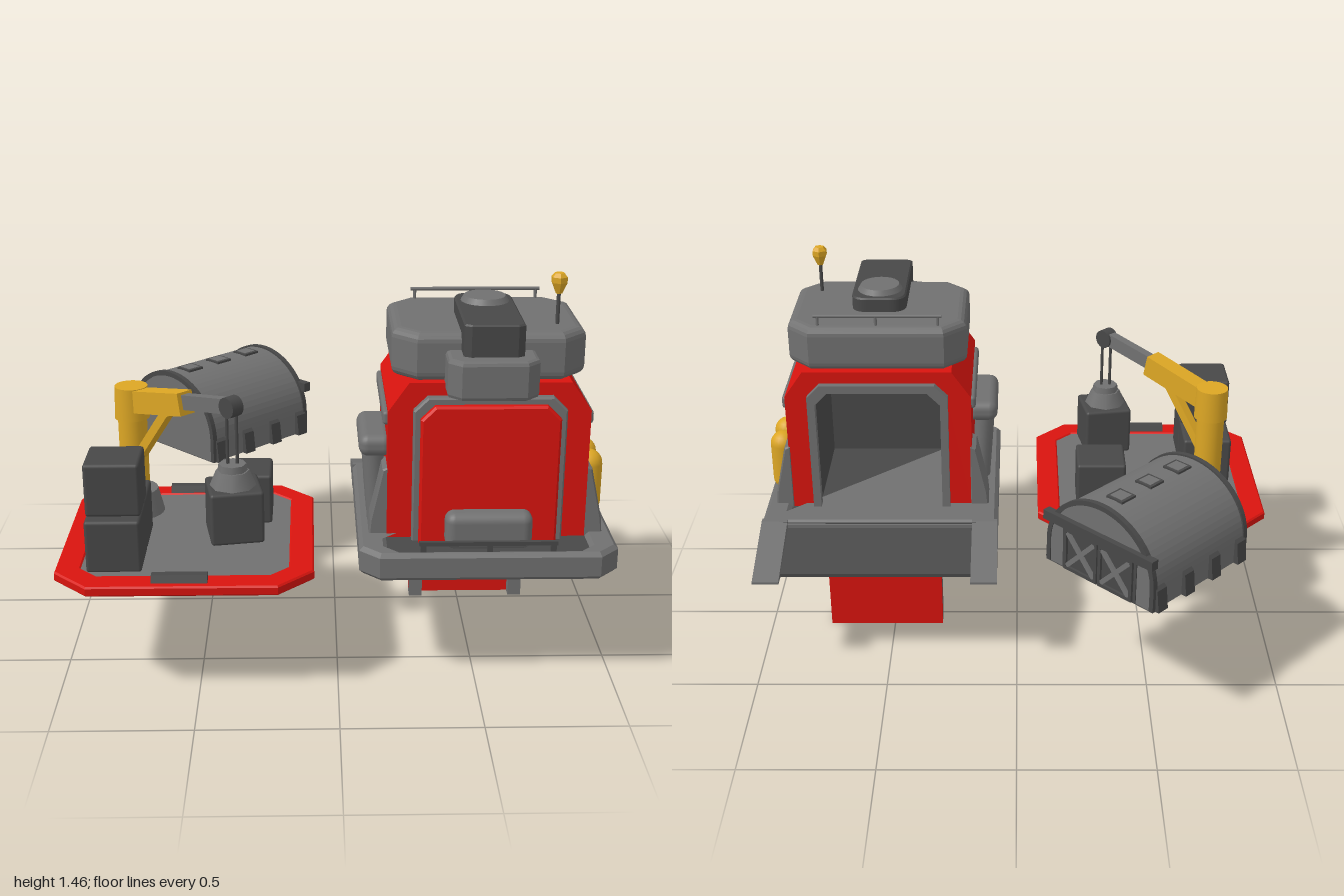
import * as THREE from 'three';
import { RoundedBoxGeometry } from 'three/addons/geometries/RoundedBoxGeometry.js';

const mat = (color, flatShading = false) => new THREE.MeshStandardMaterial({ color, flatShading, side: THREE.DoubleSide });
const GREY = mat(0x707070), DARK = mat(0x484848), RED = mat(0xd9140e), YELLOW = mat(0xdca624), FACET = mat(0xdca624, true);

function add(parent, name, geo, material, x = 0, y = 0, z = 0) {
  const m = new THREE.Mesh(geo, material);
  m.name = name;
  m.position.set(x, y, z);
  parent.add(m);
  return m;
}

// Boxes given by their limits, sharp or rounded
function box(parent, name, material, x0, x1, y0, y1, z0, z1, r = 0) {
  const s = [x1 - x0, y1 - y0, z1 - z0];
  const geo = r ? new RoundedBoxGeometry(...s, 3, r) : new THREE.BoxGeometry(...s);
  return add(parent, name, geo, material, (x0 + x1) / 2, (y0 + y1) / 2, (z0 + z1) / 2);
}

const cyl = (parent, name, material, rTop, rBottom, x, y0, y1, z, n = 24) =>
  add(parent, name, new THREE.CylinderGeometry(rTop, rBottom, y1 - y0, n), material, x, (y0 + y1) / 2, z);

const poly = pts => new THREE.Shape(pts.map(p => new THREE.Vector2(...p)));

// Rectangle with cut corners: low pair a, high pair b
const cut = (x0, x1, y0, y1, a, b) => poly([[x0 + a, y0], [x1 - a, y0], [x1, y0 + a], [x1, y1 - b],
  [x1 - b, y1], [x0 + b, y1], [x0, y1 - b], [x0, y0 + a]].filter((p, i, l) => {
  const q = l[(i + 1) % l.length];
  return Math.hypot(p[0] - q[0], p[1] - q[1]) > 1e-6;
}));

function holed(outer, inner) {
  outer.holes.push(inner);
  return outer;
}

function extrude(shape, depth, bevel = 0, segs = 1) {
  const geo = new THREE.ExtrudeGeometry(shape, { depth: depth - 2 * bevel, bevelEnabled: bevel > 0, bevelSize: bevel,
    bevelThickness: bevel, bevelOffset: -bevel, bevelSegments: segs, curveSegments: 16 });
  return geo.translate(0, 0, bevel);
}

// Extrude along z, or upward from a plan drawn as (x, -z), or along x from a profile drawn as (-z, y)
const wall = (p, name, m, shape, z0, z1, b = 0) => add(p, name, extrude(shape, z1 - z0, b), m, 0, 0, z0);
const slab = (p, name, m, shape, y0, y1, b = 0, s = 1) => add(p, name, extrude(shape, y1 - y0, b, s).rotateX(-Math.PI / 2), m, 0, y0, 0);
const side = (p, name, m, pts, x0, x1) => add(p, name, extrude(poly(pts), x1 - x0).rotateY(Math.PI / 2), m, x0, 0, 0);

// Straight bar between two points, square or round
function beam(parent, name, material, a, b, w, h, round = false) {
  const A = new THREE.Vector3(...a), B = new THREE.Vector3(...b), len = A.distanceTo(B);
  const geo = round ? new THREE.CylinderGeometry(h, w, len, 16).rotateX(Math.PI / 2) : new THREE.BoxGeometry(w, h, len);
  const m = add(parent, name, geo, material);
  m.position.copy(A).add(B).multiplyScalar(0.5);
  m.lookAt(B);
  return m;
}

function group(parent, name) {
  const g = new THREE.Group();
  g.name = name;
  parent.add(g);
  return g;
}

function buildPad(root) {
  const g = group(root, 'cargoPad');
  slab(g, 'padRim', RED, holed(cut(-1, -0.085, -0.83, 0.09, 0.125, 0.125), cut(-0.91, -0.175, -0.735, 0.005, 0.065, 0.065)), 0.425, 0.462, 0.006);
  slab(g, 'padFloor', GREY, cut(-0.915, -0.17, -0.74, 0.01, 0.065, 0.065), 0.447, 0.457);
  for (const z of [-0.04, 0.777])
    side(g, 'padVent', DARK, [[-z - 0.027, 0.46], [-z + 0.027, 0.46], [-z + 0.014, 0.488], [-z - 0.014, 0.488]], -0.65, -0.455);

  // Crates
  const crates = [[-0.79, 0.55, 0.6], [-0.79, 0.55, 0.395], [-0.79, 0.745, 0.555], [-0.34, 0.55, 0.177]];
  for (const [x, y, z] of crates) add(g, 'crate', new RoundedBoxGeometry(0.196, 0.196, 0.196, 2, 0.012), DARK, x, y, z);

  // Crane
  const c = group(g, 'crane');
  cyl(c, 'craneBase', GREY, 0.085, 0.112, -0.77, 0.44, 0.55, 0.14);
  cyl(c, 'craneColumn', YELLOW, 0.055, 0.055, -0.77, 0.55, 0.85, 0.14);
  cyl(c, 'craneHead', YELLOW, 0.062, 0.066, -0.77, 0.84, 0.965, 0.14);
  beam(c, 'craneArm', YELLOW, [-0.76, 0.91, 0.15], [-0.545, 0.97, 0.365], 0.07, 0.085);
  beam(c, 'craneStrut', YELLOW, [-0.74, 0.7, 0.17], [-0.62, 0.91, 0.29], 0.035, 0.035);
  beam(c, 'craneJib', GREY, [-0.59, 0.965, 0.32], [-0.375, 1.015, 0.53], 0.036, 0.055);
  const k = add(c, 'jibKnuckle', new THREE.CylinderGeometry(0.038, 0.038, 0.05, 16).rotateX(Math.PI / 2), DARK, -0.373, 1.012, 0.53);
  k.rotation.y = -Math.PI / 4;
  for (const x of [-0.39, -0.356]) cyl(c, 'hoistRod', DARK, 0.006, 0.006, x, 0.79, 1.01, 0.53, 8);
  cyl(c, 'grabTop', GREY, 0.05, 0.055, -0.373, 0.77, 0.8, 0.53, 8);
  cyl(c, 'grab', GREY, 0.06, 0.085, -0.373, 0.715, 0.775, 0.53, 8);
  const held = add(c, 'hangingCrate', new RoundedBoxGeometry(0.192, 0.196, 0.192, 2, 0.012), DARK, -0.37, 0.62, 0.525);
  held.rotation.y = 0.17;
}

// Arch outline with straight walls and an elliptical roof
function arch(w, h, straight) {
  const s = new THREE.Shape();
  s.moveTo(-w, 0);
  s.lineTo(w, 0);
  s.lineTo(w, straight);
  s.absellipse(0, straight, w, h - straight, 0, Math.PI, false, 0);
  s.lineTo(-w, 0);
  return s;
}

function buildHangar(root) {
  const g = group(root, 'archedHangar'), L = 0.26;
  g.position.set(-0.478, 0.555, -0.465);
  g.rotation.y = Math.PI * 0.75;
  wall(g, 'hangarShell', GREY, holed(arch(0.25, 0.32, 0.09), arch(0.235, 0.305, 0.09)), -L, L);
  for (const z of [-L, L - 0.015]) wall(g, 'endWall', GREY, arch(0.24, 0.31, 0.09), z, z + 0.015);
  for (const z of [-L - 0.004, L - 0.016])
    wall(g, 'endRim', DARK, holed(arch(0.256, 0.327, 0.09), arch(0.238, 0.308, 0.09)), z, z + 0.02);
  // Roof hatches and side feet
  for (const z of [-0.155, 0, 0.155]) {
    box(g, 'hatchFrame', DARK, -0.037, 0.037, 0.31, 0.326, z - 0.037, z + 0.037);
    box(g, 'hatch', GREY, -0.027, 0.027, 0.312, 0.328, z - 0.027, z + 0.027);
  }
  for (const s of [-1, 1]) for (const z of [-0.225, -0.075, 0.075, 0.225])
    wall(g, 'foot', DARK, poly([[s * 0.24, 0], [s * 0.272, 0], [s * 0.262, 0.085], [s * 0.24, 0.105]]), z - 0.025, z + 0.025);
  // Doors with cross braces under a beam
  box(g, 'doorBeam', DARK, -0.258, 0.258, 0.178, 0.215, L - 0.01, L + 0.022);
  box(g, 'doorBacking', DARK, -0.175, 0.175, 0, 0.18, L, L + 0.004);
  for (const x of [-0.083, 0.083]) {
    wall(g, 'doorFrame', DARK, holed(cut(x - 0.08, x + 0.08, 0.005, 0.175, 0, 0), cut(x - 0.067, x + 0.067, 0.018, 0.162, 0, 0)), L, L + 0.014);
    for (const a of [-1, 1])
      add(g, 'crossBrace', new THREE.BoxGeometry(0.19, 0.018, 0.012), GREY, x, 0.09, L + 0.008).rotation.z = a * 0.82;
  }
}

function buildStation(root) {
  const g = group(root, 'station'), X = 0.535;

  // Platform, deck and rear ramp
  slab(g, 'platformRim', GREY, holed(poly([[0.075, 0.16], [0.075, -0.66], [0.145, -0.73], [0.925, -0.73], [0.995, -0.66], [0.995, 0.16]]),
    poly([[0.175, 0.155], [0.175, -0.65], [0.22, -0.695], [0.85, -0.695], [0.895, -0.65], [0.895, 0.155]])), 0.425, 0.53, 0.015);
  box(g, 'deck', DARK, 0.17, 0.9, 0.5, 0.515, -0.11, 0.7);
  for (const x of [0.075, 0.895])
    side(g, 'rampCheek', GREY, [[0.14, 0.425], [0.45, 0.425], [0.45, 0.435], [0.16, 0.53], [0.14, 0.53]], x, x + 0.1);
  side(g, 'ramp', DARK, [[0.1, 0.515], [0.4, 0.44], [0.4, 0.427], [0.1, 0.5]], 0.17, 0.9);
  slab(g, 'threshold', GREY, cut(0.24, 0.83, 0.01, 0.112, 0, 0.03), 0.505, 0.53);

  // Hanging rear panel with guide posts
  box(g, 'hangingPanel', RED, 0.305, 0.76, 0, 0.45, -0.083, -0.058);
  for (const x of [0.305, 0.71]) box(g, 'guidePost', GREY, x, x + 0.052, 0, 0.5, -0.06, -0.012);

  // Hollow hull, open at the rear
  const hull = () => poly([[0.177, 0.51], [0.893, 0.51], [0.893, 0.995], [0.82, 1.1], [0.25, 1.1], [0.177, 0.995]]);
  const opening = (d, y = 0.51) => cut(0.265 + d, 0.805 - d, y, 1.055 - d, 0, 0.05);
  wall(g, 'hull', RED, holed(hull(), opening(0.005)), -0.015, 0.5);
  wall(g, 'hullFront', RED, hull(), 0.5, 0.545);
  wall(g, 'roomLining', DARK, holed(opening(0), opening(0.02)), -0.014, 0.5);
  wall(g, 'roomBack', DARK, opening(0.01), 0.485, 0.5);
  wall(g, 'rearDoorFrame', GREY, holed(opening(0), opening(0.03)), -0.045, -0.005);

  // Front door
  wall(g, 'frontDoorFrame', GREY, opening(0), 0.54, 0.577, 0.006);
  wall(g, 'frontDoor', RED, opening(0.024), 0.57, 0.605, 0.008);
  box(g, 'frontBox', GREY, 0.38, 0.69, 0.51, 0.648, 0.57, 0.665, 0.035);
  box(g, 'frontRail', DARK, 0.285, 0.775, 0.545, 0.56, 0.68, 0.694);
  for (const x of [0.3, X, 0.76]) box(g, 'railFoot', DARK, x - 0.01, x + 0.01, 0.51, 0.55, 0.682, 0.692);

  // Mirrored side strips and sloping buttresses
  for (const s of [-1, 1]) {
    const x = d => X + s * d;
    box(g, 'sideStrip', GREY, Math.min(x(0.34), x(0.375)), Math.max(x(0.34), x(0.375)), 0.932, 0.982, 0.015, 0.51, 0.012);
    for (const [z0, z1] of [[-0.018, 0.11], [0.415, 0.543]])
      wall(g, 'buttress', GREY, poly([[x(0.35), 0.5], [x(0.425), 0.5], [x(0.418), 0.58], [x(0.375), 0.775], [x(0.35), 0.785]]), z0, z1, 0.006);
  }

  // Tanks on the left
  for (const z of [0.172, 0.297])
    add(g, 'tank', new THREE.CapsuleGeometry(0.053, 0.15, 6, 20), YELLOW, 0.943, 0.628, z);

  // Duct and pipes on the right
  box(g, 'ductHeader', GREY, 0.078, 0.2, 0.795, 0.878, 0.17, 0.48, 0.035);
  for (const z of [0.235, 0.325, 0.415])
    beam(g, 'ductPipe', GREY, [0.147, 0.51, z], [0.13, 0.82, z], 0.034, 0.04, true);

  // Roof housing
  slab(g, 'roofHousing', GREY, cut(0.192, 0.877, -0.525, -0.003, 0.085, 0.085), 1.095, 1.272, 0.035, 4);
  slab(g, 'roofFrontBox', GREY, cut(0.375, 0.69, -0.675, -0.5, 0.045, 0), 1.072, 1.213, 0.015, 2);
  const unit = new THREE.Shape();
  unit.moveTo(0.43, -0.6);
  unit.lineTo(0.455, -0.615);
  unit.lineTo(0.615, -0.615);
  unit.lineTo(0.64, -0.6);
  unit.lineTo(0.64, -0.235);
  unit.quadraticCurveTo(0.64, -0.17, 0.575, -0.17);
  unit.lineTo(0.495, -0.17);
  unit.quadraticCurveTo(0.43, -0.17, 0.43, -0.235);
  slab(g, 'roofUnit', DARK, unit, 1.205, 1.327, 0.006);
  cyl(g, 'roofCap', GREY, 0.075, 0.09, X, 1.322, 1.347, 0.28);

  // Rear roof rail
  beam(g, 'roofRail', GREY, [0.285, 1.308, 0.04], [0.77, 1.308, 0.04], 0.007, 0.007, true);
  for (const x of [0.3, X, 0.755]) cyl(g, 'roofRailPost', GREY, 0.006, 0.006, x, 1.26, 1.308, 0.04, 8);

  // Beacon
  cyl(g, 'beaconRod', DARK, 0.007, 0.007, 0.78, 1.26, 1.4, 0.4, 8);
  const bulb = [[0, 0], [0.012, 0], [0.03, 0.04], [0.03, 0.06], [0.018, 0.074], [0, 0.074]].map(p => new THREE.Vector2(...p));
  add(g, 'beacon', new THREE.LatheGeometry(bulb, 6), FACET, 0.78, 1.382, 0.4);
}

export function createModel() {
  const root = new THREE.Group();
  root.name = 'cargoStation';
  buildPad(root);
  buildHangar(root);
  buildStation(root);
  return root;
}
